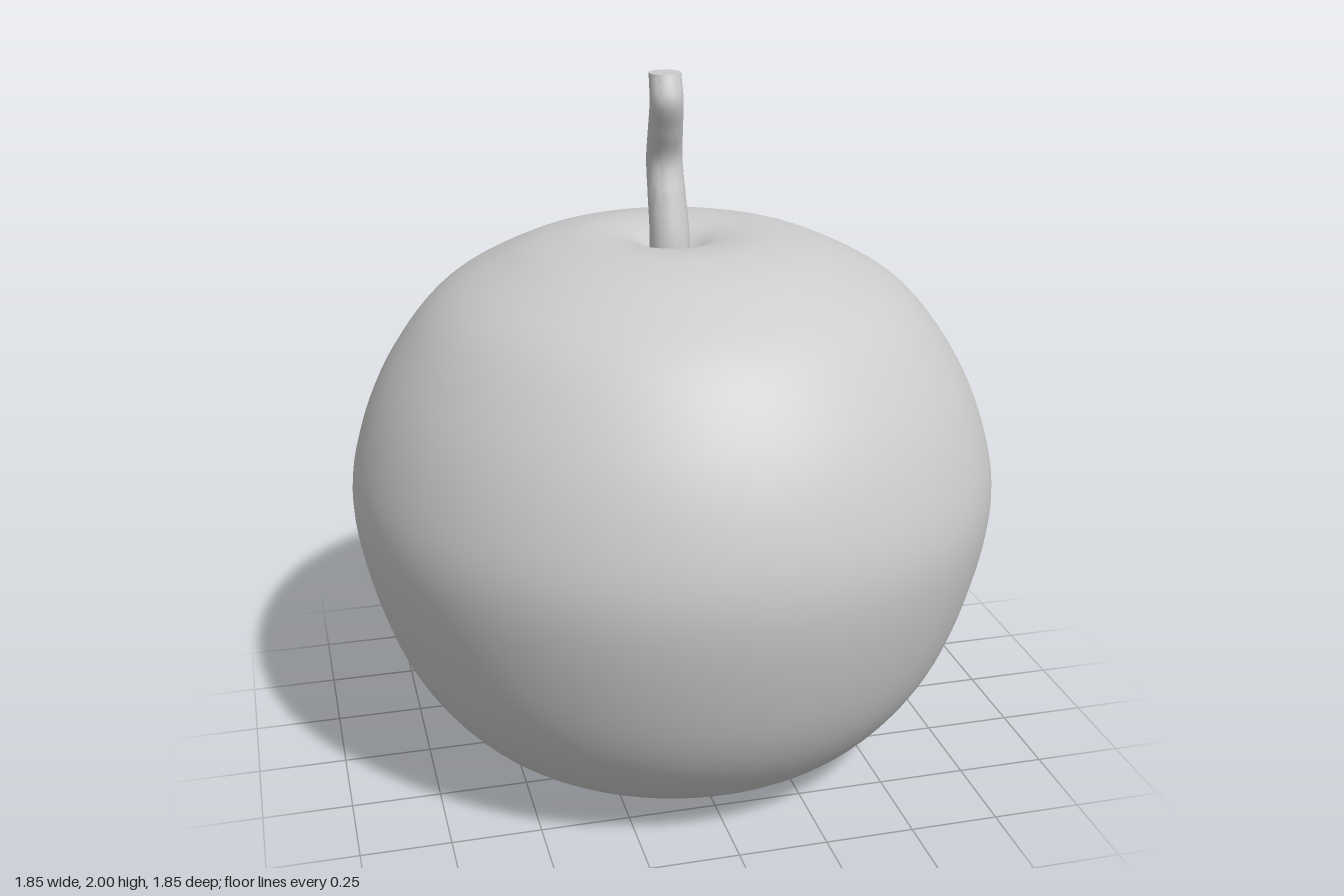
import * as THREE from 'three';
import { toCreasedNormals } from 'three/addons/utils/BufferGeometryUtils.js';

const vectors = (pairs) => pairs.map(([x, y]) => new THREE.Vector2(x, y));

export function createModel() {
  const grey = new THREE.MeshStandardMaterial({ color: 0xcccccc });
  grey.name = 'plain grey';
  const model = new THREE.Group();
  model.name = 'fruit';

  const add = (name, geometry) => {
    const mesh = new THREE.Mesh(geometry, grey);
    mesh.name = name;
    model.add(mesh);
    return mesh;
  };

  // Round body: smooth profile from the base rim up into the dimple round the stem
  const profile = new THREE.SplineCurve(vectors([
    [0.2, 0.004], [0.36, 0.027], [0.53, 0.06], [0.67, 0.155], [0.8, 0.335],
    [0.885, 0.57], [0.925, 0.81], [0.89, 1.01], [0.8, 1.21], [0.655, 1.39],
    [0.45, 1.505], [0.3, 1.545], [0.2, 1.549], [0.12, 1.535], [0.06, 1.505], [0, 1.485],
  ]));
  add('body', new THREE.LatheGeometry(profile.getPoints(90), 96));

  // Flat underside
  const base = add('base', new THREE.CylinderGeometry(0.2, 0.2, 0.004, 96));
  base.position.y = 0.002;

  // Wavy stem: a tapered cylinder whose level rings follow a curve
  const bottom = 1.46, height = 2 - bottom;
  const path = new THREE.CatmullRomCurve3([
    [-0.008, 1.46, 0.012], [-0.008, 1.55, 0.003], [-0.01, 1.65, -0.02], [-0.012, 1.75, -0.04],
    [-0.02, 1.84, 0.005], [-0.027, 1.93, 0.047], [-0.026, 2, 0.024],
  ].map((p) => new THREE.Vector3(...p)));
  const samples = path.getPoints(240);
  const stem = new THREE.CylinderGeometry(0.044, 0.058, height, 32, 40);
  stem.translate(0, bottom + height / 2, 0);
  const pos = stem.attributes.position;
  for (let i = 0; i < pos.count; i++) {
    const y = pos.getY(i);
    const c = samples.reduce((a, b) => (Math.abs(b.y - y) < Math.abs(a.y - y) ? b : a));
    pos.setX(i, pos.getX(i) + c.x);
    pos.setZ(i, pos.getZ(i) + c.z);
  }
  add('stem', toCreasedNormals(stem, 0.7));

  return model;
}
